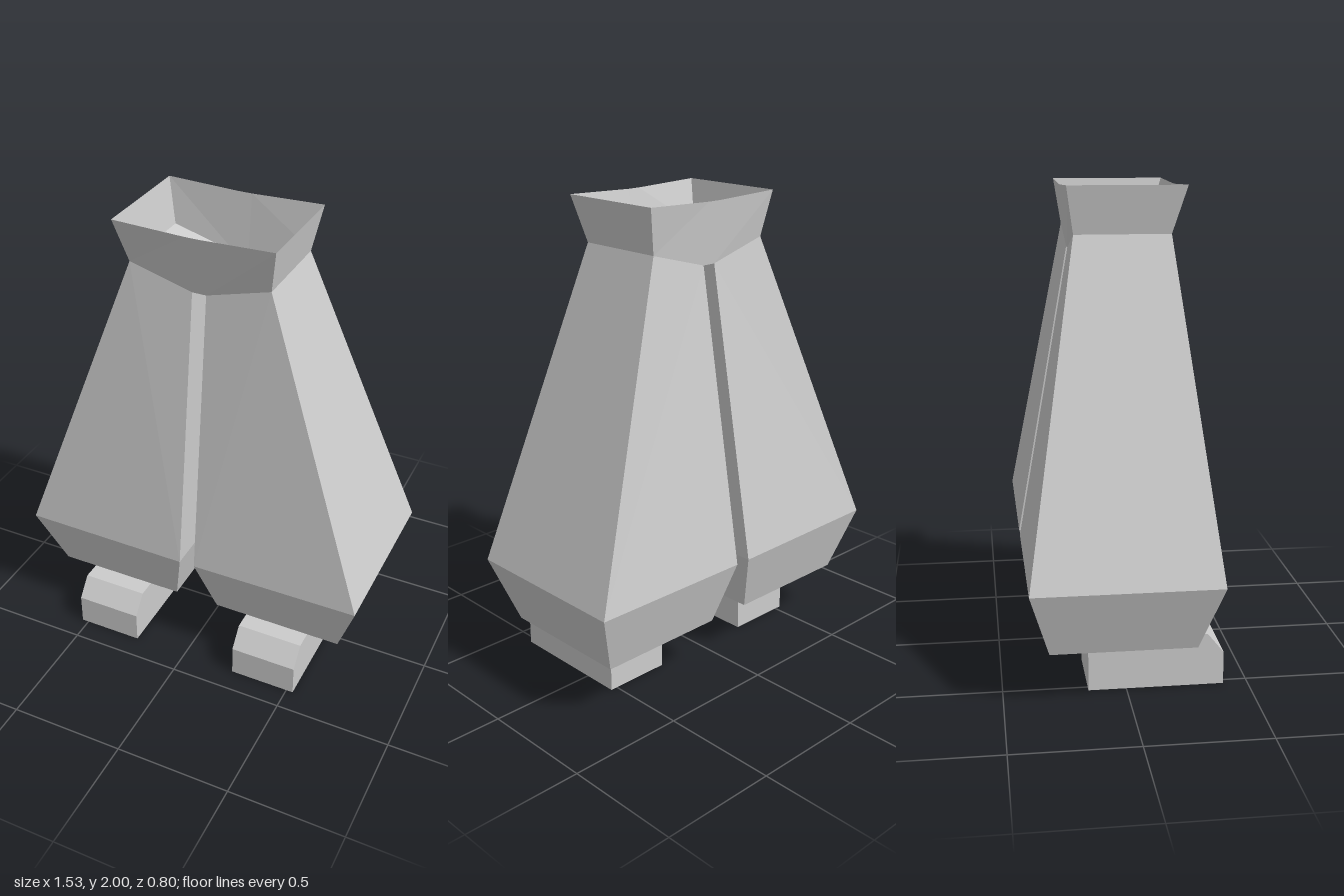
import * as THREE from 'three';

// Skin quads between rings of points (counter-clockwise seen from above), with optional flat caps.
function loft(rings, { caps = true, flip = false } = {}) {
  const n = rings[0].length, pos = [], idx = [];
  rings.forEach(r => r.forEach(p => pos.push(...p)));
  const tri = (a, b, c) => (flip ? idx.push(a, c, b) : idx.push(a, b, c));
  for (let k = 0; k < rings.length - 1; k++) {
    for (let i = 0; i < n; i++) {
      const a = k * n + i, b = k * n + (i + 1) % n;
      tri(a, b, b + n);
      tri(a, b + n, a + n);
    }
  }
  if (caps) {
    const t = (rings.length - 1) * n;
    for (let i = 1; i < n - 1; i++) {
      tri(0, i + 1, i);
      tri(t, t + i, t + i + 1);
    }
  }
  let g = new THREE.BufferGeometry();
  g.setAttribute('position', new THREE.Float32BufferAttribute(pos, 3));
  g.setIndex(idx);
  g = g.toNonIndexed();
  g.computeVertexNormals();
  return g;
}

export function createModel() {
  const model = new THREE.Group();
  model.name = 'baggyTrousers';
  const grey = new THREE.MeshStandardMaterial({ color: 0xcccccc, flatShading: true });
  grey.name = 'light grey';
  const greyOpen = new THREE.MeshStandardMaterial({ color: 0xcccccc, flatShading: true, side: THREE.DoubleSide });
  greyOpen.name = 'light grey cloth';

  const add = (geo, name, parent, mat = grey) => {
    const m = new THREE.Mesh(geo, mat);
    m.name = name;
    parent.add(m);
    return m;
  };

  // Leg sections: inner x, outer x, inner y, outer y, back z, front z
  const legSections = [
    [0.10, 0.673, 0.23, 0.23, -0.32, 0.265],
    [0.034, 0.767, 0.50, 0.507, -0.40, 0.355],
    [0.03, 0.30, 1.735, 1.81, -0.183, 0.205],
  ];

  for (const s of [1, -1]) {
    const side = new THREE.Group();
    side.name = s > 0 ? 'leftLeg' : 'rightLeg';
    model.add(side);

    // Flared trouser leg
    const rings = legSections.map(([xi, xo, yi, yo, zb, zf]) => [
      [s * xi, yi, zf], [s * xo, yo, zf], [s * xo, yo, zb], [s * xi, yi, zb],
    ]);
    add(loft(rings, { flip: s < 0 }), 'trouserLeg', side);

    // Short ankle peg
    const ankle = add(new THREE.BoxGeometry(0.145, 0.03, 0.13), 'ankle', side);
    ankle.position.set(s * 0.385, 0.225, -0.015);

    // Shoe with a bevelled toe: side profile (z, y) extruded across x
    const profile = new THREE.Shape([
      [-0.155, 0], [0.40, 0], [0.40, 0.137], [0.333, 0.22], [-0.155, 0.22],
    ].map(([z, y]) => new THREE.Vector2(z, y)));
    const shoe = new THREE.ExtrudeGeometry(profile, { depth: 0.29, bevelEnabled: false });
    shoe.translate(0, 0, -0.145).rotateY(-Math.PI / 2);
    add(shoe, 'shoe', side).position.x = s * 0.385;
  }

  // Strip joining the two legs at the crotch
  const c = 0.03, zb = -0.183, zf = 0.205;
  const crotch = new THREE.PlaneGeometry(2 * c, zf - zb).rotateX(-Math.PI / 2);
  add(crotch, 'crotch', model, greyOpen).position.set(0, 1.735, (zf + zb) / 2);

  // Open flared waistband, dipping toward the middle
  const band = (x, y, yMid, z0, z1) => [
    [-x, y, z1], [-c, yMid, z1], [c, yMid, z1], [x, y, z1],
    [x, y, z0], [c, yMid, z0], [-c, yMid, z0], [-x, y, z0],
  ];
  const waist = loft([
    band(0.30, 1.81, 1.735, zb, zf),
    band(0.338, 2, 1.99, -0.212, 0.262),
  ], { caps: false });
  add(waist, 'waistband', model, greyOpen);

  return model;
}
